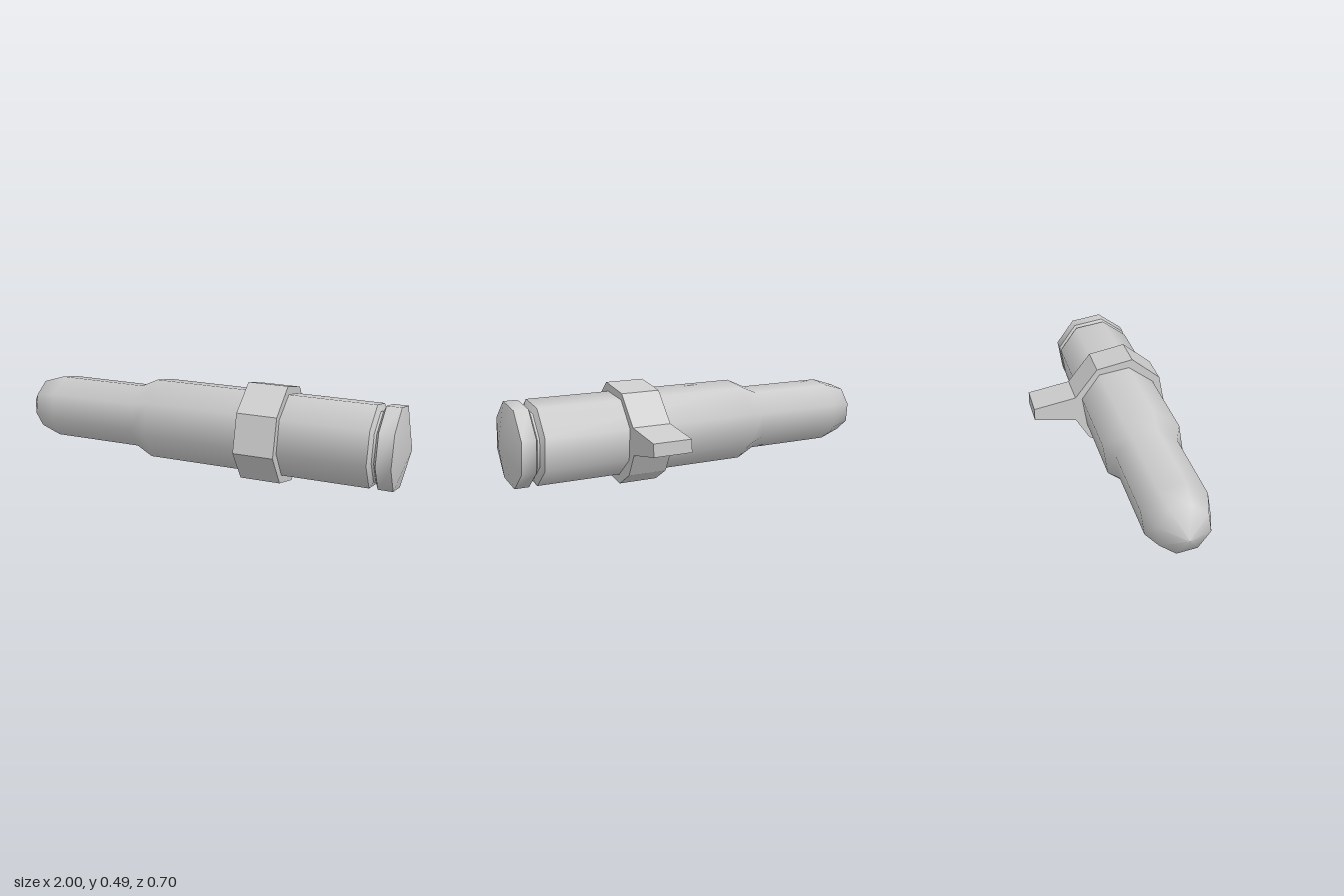
import * as THREE from 'three';
import { toCreasedNormals } from 'three/addons/utils/BufferGeometryUtils.js';

const SIDES = 8;
const ROLL = THREE.MathUtils.degToRad(31.4); // turn of the octagon about the long axis

export function createModel() {
  const model = new THREE.Group();
  const material = new THREE.MeshStandardMaterial({ color: 0xcccccc });

  // Everything is built along a slightly tilted x axis
  const round = new THREE.Group();
  round.name = 'cartridge';
  round.position.set(0, 0.258, 0.1075);
  round.rotation.set(0, 0.0125, -0.027);
  model.add(round);

  // Body: pointed nose, shoulder, case, extractor groove, rim and shallow base; [position, radius]
  const profile = [
    [-1, 0], [-0.915, 0.125], [-0.8, 0.163], [-0.345, 0.163], [-0.255, 0.206],
    [0.84, 0.206], [0.855, 0.174], [0.866, 0.174], [0.88, 0.206], [0.95, 0.206], [1, 0],
  ].map(([along, r]) => new THREE.Vector2(r, along));
  const bodyGeometry = new THREE.LatheGeometry(profile, SIDES, -ROLL);
  bodyGeometry.rotateZ(-Math.PI / 2);
  const body = new THREE.Mesh(toCreasedNormals(bodyGeometry, 0.9), material);
  body.name = 'body';
  round.add(body);

  // Belt link: octagonal band with a tapered tab at the back; [z, y] outline
  const outline = [
    [0.168, 0.49], [-0.017, 0.453], [-0.133, 0.305], [-0.35, 0.265], [-0.35, 0.202], [-0.133, 0.173],
    [-0.065, 0.063], [0.05, 0.001], [0.232, 0.038], [0.35, 0.188], [0.315, 0.372],
  ].map(([z, y]) => new THREE.Vector2(0.102 - z, y - 0.2465));
  const linkGeometry = new THREE.ExtrudeGeometry(new THREE.Shape(outline), { depth: 0.195, bevelEnabled: false });
  linkGeometry.rotateY(Math.PI / 2);
  linkGeometry.translate(0.228, 0, 0);
  const link = new THREE.Mesh(linkGeometry, material);
  link.name = 'beltLink';
  round.add(link);

  return model;
}
